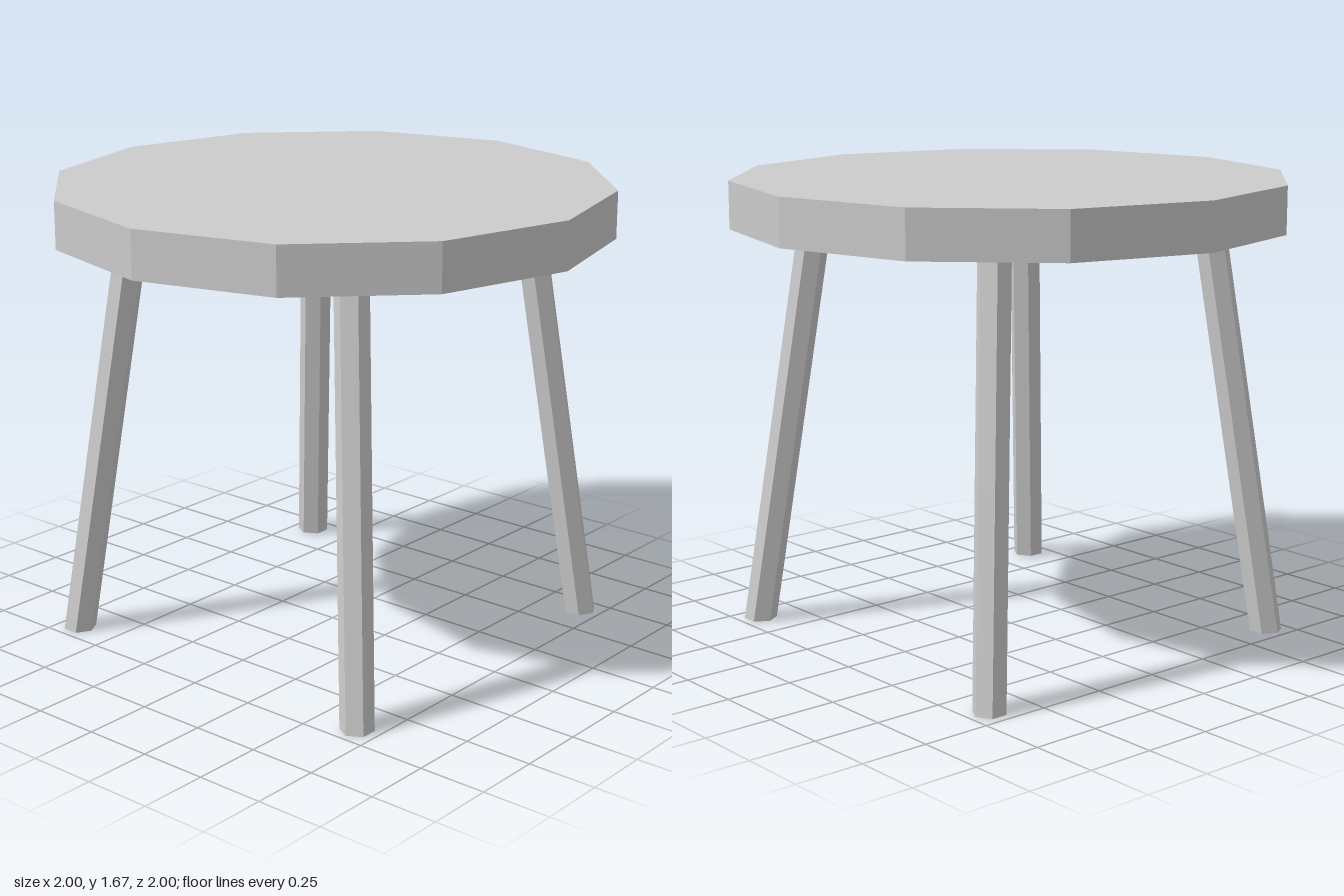
import * as THREE from 'three';

const TOP_HEIGHT = 1.67;
const LEG_HEIGHT = 1.5;
const LEG_RADIUS = 0.06;
const FOOT_OFFSET = 0.667; // leg centre on x and z at the floor
const HEAD_OFFSET = 0.5; // leg centre on x and z under the seat

export function createModel() {
  const group = new THREE.Group();
  const material = new THREE.MeshStandardMaterial({ color: 0xcccccc, flatShading: true });

  // Twelve-sided seat slab
  const thickness = TOP_HEIGHT - LEG_HEIGHT;
  const seat = new THREE.Mesh(new THREE.CylinderGeometry(1, 1, thickness, 12), material);
  seat.name = 'seat';
  seat.position.y = LEG_HEIGHT + thickness / 2;
  group.add(seat);

  // Hexagonal leg, sheared outwards so that both ends stay level
  const legGeometry = new THREE.CylinderGeometry(LEG_RADIUS, LEG_RADIUS, LEG_HEIGHT, 6);
  legGeometry.translate(0, LEG_HEIGHT / 2, 0);
  const position = legGeometry.attributes.position;
  for (let i = 0; i < position.count; i++) {
    const offset = THREE.MathUtils.lerp(FOOT_OFFSET, HEAD_OFFSET, position.getY(i) / LEG_HEIGHT);
    position.setX(i, position.getX(i) + offset);
    position.setZ(i, position.getZ(i) + offset);
  }
  legGeometry.computeVertexNormals();

  // Four legs, each a quarter turn from the last
  ['frontLeftLeg', 'backLeftLeg', 'backRightLeg', 'frontRightLeg'].forEach((name, i) => {
    const leg = new THREE.Mesh(legGeometry, material);
    leg.name = name;
    leg.rotation.y = (i * Math.PI) / 2;
    group.add(leg);
  });

  return group;
}
